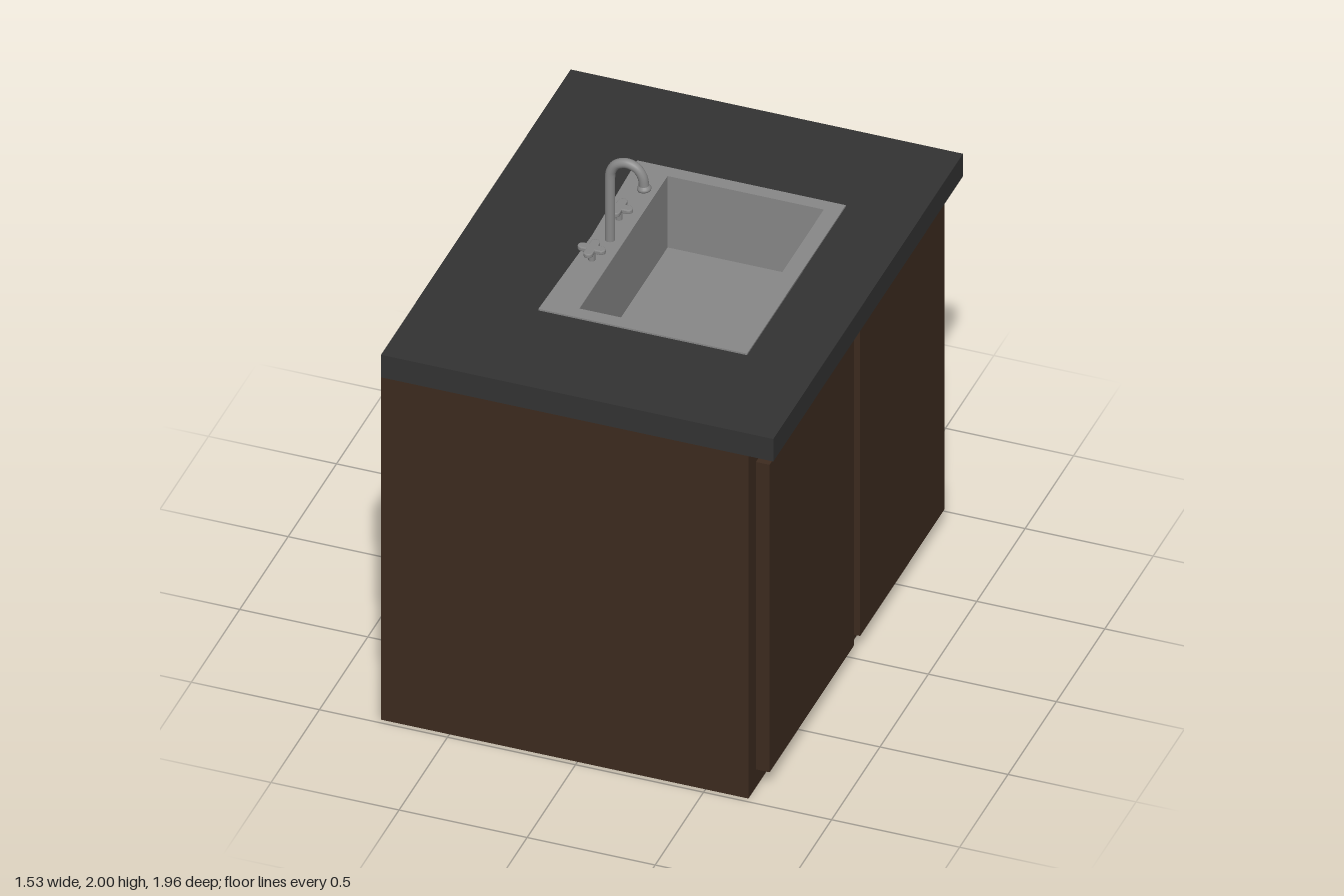
import * as THREE from 'three';

const paint = (color) => new THREE.MeshStandardMaterial({ color, side: THREE.DoubleSide });
const wood = paint(0x3d2b1f), stone = paint(0x333333), steel = paint(0x888888);

function add(parent, name, geometry, material, x = 0, y = 0, z = 0) {
  const mesh = new THREE.Mesh(geometry, material);
  mesh.name = name;
  mesh.position.set(x, y, z);
  parent.add(mesh);
  return mesh;
}

const outline = (points) => points.map(([x, z]) => new THREE.Vector2(x, -z));
const rect = (x0, x1, z) => [[x0, z], [x1, z], [x1, -z], [x0, -z]];

// Horizontal slab with a hole, its base at y = 0
function slab(points, hole, height) {
  const shape = new THREE.Shape(outline(points));
  shape.holes.push(new THREE.Path(outline(hole)));
  return new THREE.ExtrudeGeometry(shape, { depth: height, bevelEnabled: false }).rotateX(-Math.PI / 2);
}

// Box without its top face
function openBox(w, h, d) {
  const box = new THREE.BoxGeometry(w, h, d);
  const index = Array.from(box.index.array);
  index.splice(12, 6);
  box.setIndex(index);
  box.clearGroups();
  return box;
}

// Four-armed tap handle with rounded arm ends
function crossHandle() {
  const shape = new THREE.Shape();
  const r = 0.018, reach = 0.036;
  for (let i = 0; i < 4; i++) {
    const a = i * Math.PI / 2, c = Math.cos(a), s = Math.sin(a);
    const p = (u, v) => [u * c - v * s, u * s + v * c];
    if (i === 0) shape.moveTo(...p(r, -r));
    shape.lineTo(...p(reach, -r));
    shape.absarc(...p(reach, 0), r, a - Math.PI / 2, a + Math.PI / 2, false);
    shape.lineTo(...p(r, r));
  }
  return new THREE.ExtrudeGeometry(shape, {
    depth: 0.01, bevelThickness: 0.004, bevelSize: 0.004, bevelOffset: -0.004, bevelSegments: 2, curveSegments: 8,
  }).rotateX(-Math.PI / 2);
}

export function createModel() {
  const model = new THREE.Group();
  model.name = 'sinkCabinet';

  // Cabinet and its two doors
  add(model, 'cabinet', openBox(1.435, 1.52, 1.96), wood, -0.0495, 0.76, 0);
  for (const side of [-1, 1]) {
    add(model, 'door', new THREE.BoxGeometry(0.055, 1.365, 0.87), wood, 0.694, 0.7625, side * 0.468);
  }

  // Worktop, cut out for the basin
  add(model, 'worktop', slab(rect(-0.767, 0.765, 0.98), rect(-0.2, 0.43, 0.465), 0.1), stone, 0, 1.52, 0);

  // Sink rim, its tap edge slightly bowed, and basin
  const sink = new THREE.Group();
  sink.name = 'sink';
  model.add(sink);
  const rim = [...rect(-0.33, 0.485, 0.51), [-0.314, 0]];
  add(sink, 'rim', slab(rim, rect(-0.19, 0.42, 0.455), 0.007), steel, 0, 1.62, 0);
  add(sink, 'basin', openBox(0.61, 0.317, 0.91), steel, 0.115, 1.4685, 0);

  // Swan-neck spout with a flared nozzle
  const tap = new THREE.Group();
  tap.name = 'tap';
  model.add(tap);
  const path = new THREE.CurvePath();
  const v = (x, y) => new THREE.Vector3(x, y, 0);
  path.add(new THREE.LineCurve3(v(-0.243, 1.62), v(-0.243, 1.9)));
  path.add(new THREE.CatmullRomCurve3([
    v(-0.243, 1.9), v(-0.239, 1.932), v(-0.219, 1.965), v(-0.178, 1.981),
    v(-0.14, 1.969), v(-0.117, 1.937), v(-0.109, 1.89),
  ]));
  add(tap, 'spout', new THREE.TubeGeometry(path, 60, 0.019, 16), steel);
  const nozzle = new THREE.LatheGeometry([[0, 0], [0.025, 0], [0.027, 0.006], [0.025, 0.012], [0.019, 0.02]]
    .map(([x, y]) => new THREE.Vector2(x, y)), 20);
  add(tap, 'nozzle', nozzle, steel, -0.109, 1.88, 0).rotation.z = 0.1;

  // Two cross handles on stems
  for (const z of [-0.135, 0.146]) {
    add(tap, 'handleStem', new THREE.CylinderGeometry(0.013, 0.013, 0.055, 16), steel, -0.259, 1.6475, z);
    add(tap, 'handle', crossHandle(), steel, -0.259, 1.671, z);
  }
  return model;
}
